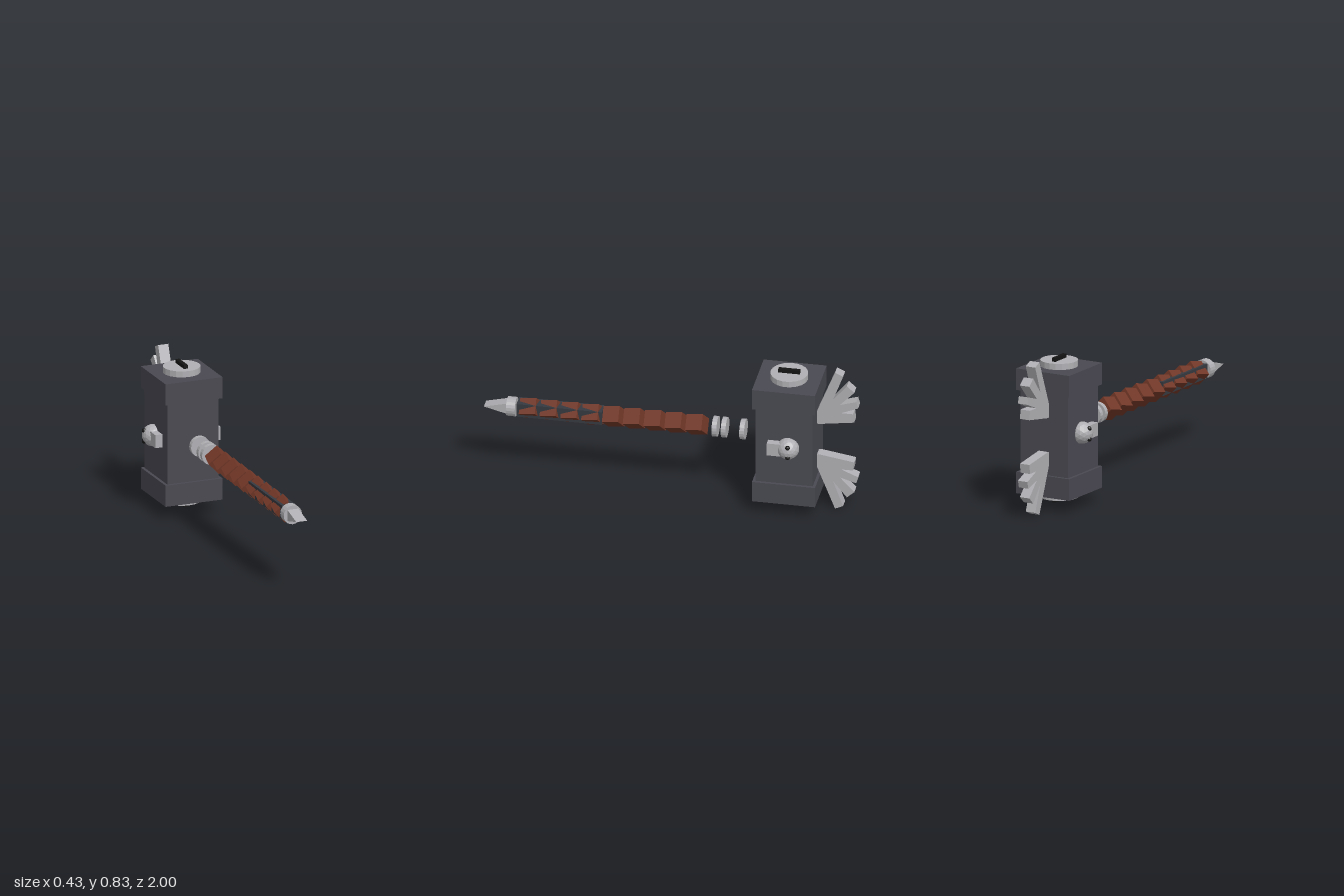
import * as THREE from 'three';

const mat = (name, color) => new THREE.MeshStandardMaterial({ name, color, flatShading: true });

export function createModel() {
  const iron = mat('dark iron', 0x4a4952);
  const silver = mat('silver', 0xb0afb3);
  const leather = mat('brown leather', 0x733828);
  const core = mat('core steel', 0x363a40);
  const black = mat('black', 0x141414);

  const model = new THREE.Group();
  model.name = 'warHammer';
  const MID = 0.414; // height of the handle axis
  const HEAD_Z = -0.627;

  const add = (name, geometry, material, x, y, z) => {
    const mesh = new THREE.Mesh(geometry, material);
    mesh.name = name;
    mesh.position.set(x, y, z);
    model.add(mesh);
    return mesh;
  };
  const box = (w, h, d) => new THREE.BoxGeometry(w, h, d);

  // Hammer head block
  add('headBlock', box(0.292, 0.6, 0.306), iron, 0, MID, HEAD_Z);

  // Wing outline as (distance behind the origin, height above the handle axis)
  const feathers = [
    [0.77, 0.096], [0.79, 0.092], [0.979, 0.121], [0.973, 0.171], [0.909, 0.171],
    [1.0, 0.209], [0.99, 0.247], [0.903, 0.22], [0.98, 0.302], [0.94, 0.338],
    [0.866, 0.247], [0.92, 0.393], [0.877, 0.413], [0.78, 0.168], [0.77, 0.15],
  ];

  // Caps, end discs, slot bars and wings, mirrored top and bottom
  for (const s of [1, -1]) {
    const end = s > 0 ? 'upper' : 'lower';
    add(end + 'Cap', box(0.324, 0.117, 0.337), iron, 0, MID + s * 0.2795, HEAD_Z);
    add(end + 'Disc', new THREE.CylinderGeometry(0.1, 0.1, 0.04, 18), silver, 0, MID + s * 0.351, HEAD_Z);
    add(end + 'SlotBar', box(0.022, 0.026, 0.115), black, 0, MID + s * 0.378, HEAD_Z);

    const shape = new THREE.Shape(feathers.map(([u, v]) => new THREE.Vector2(u, s * v)));
    const wing = new THREE.ExtrudeGeometry(shape, { depth: 0.058, bevelEnabled: false });
    wing.translate(0, 0, -0.029);
    wing.rotateY(Math.PI / 2);
    add(end + 'Wing', wing, silver, 0, MID, 0);
  }

  // Bird heads on both sides: skull, beak and two eyes
  for (const s of [1, -1]) {
    const side = s > 0 ? 'left' : 'right';
    add(side + 'Skull', new THREE.IcosahedronGeometry(0.06, 2), silver, s * 0.153, MID, -0.65);
    add(side + 'Beak', box(0.04, 0.072, 0.1), silver, s * 0.166, MID, -0.592);
    for (const e of [1, -1]) {
      add(side + 'Eye', new THREE.IcosahedronGeometry(0.013, 1), black, s * 0.201, MID + e * 0.029, -0.656);
    }
  }

  // Silver rings along the handle
  const ring = (name, z, length, radius) => {
    const g = new THREE.CylinderGeometry(radius, radius, length, 20);
    g.rotateX(Math.PI / 2);
    add(name, g, silver, 0, MID, z);
  };
  for (const z of [-0.382, -0.283, -0.234]) ring('collarRing', z, 0.026, 0.055);
  ring('pommelRing', 0.855, 0.048, 0.052);

  // Grip: a row of tilted blocks
  for (let i = 0; i < 9; i++) {
    const block = add('gripBlock', box(0.087, 0.087, 0.092), leather, 0, MID, -0.134 + i * 0.1112);
    block.rotation.set(0.2, -0.16, Math.PI / 4);
  }
  add('gripCore', box(0.076, 0.076, 0.456), core, 0, MID, 0.596);

  // Wedge spike at the end of the handle
  const wedgeShape = new THREE.Shape([
    new THREE.Vector2(-0.87, -0.033), new THREE.Vector2(-0.87, 0.033), new THREE.Vector2(-1, 0),
  ]);
  const wedge = new THREE.ExtrudeGeometry(wedgeShape, { depth: 0.062, bevelEnabled: false });
  wedge.translate(0, 0, -0.031);
  wedge.rotateY(Math.PI / 2);
  add('pommelSpike', wedge, silver, 0, MID, 0);

  return model;
}
